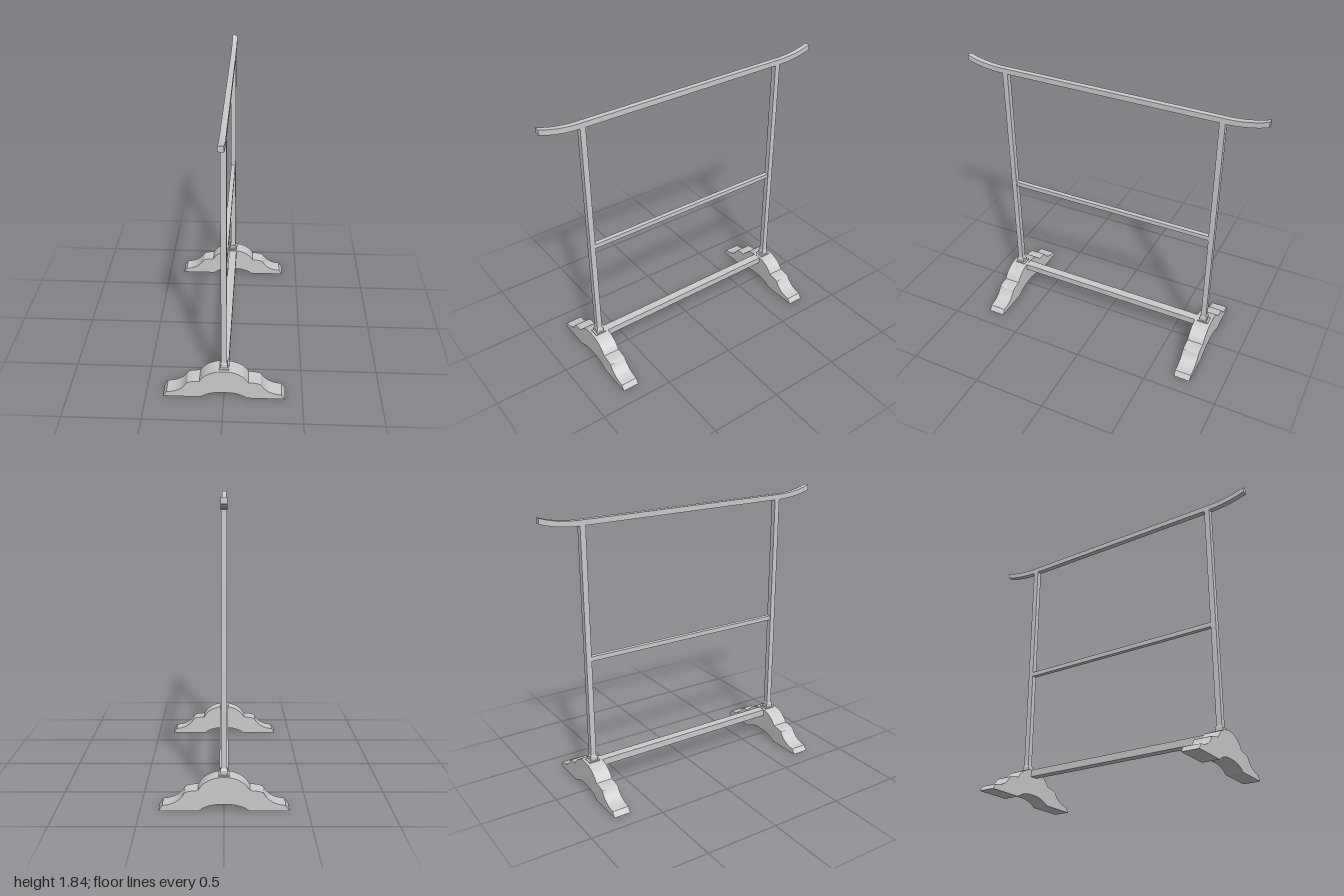
import * as THREE from 'three';
import { toCreasedNormals } from 'three/addons/utils/BufferGeometryUtils.js';

const material = new THREE.MeshStandardMaterial({ color: 0xcccccc });
const POST_Z = 0.728;

function addMesh(parent, name, geometry, x = 0, y = 0, z = 0) {
  const mesh = new THREE.Mesh(geometry, material);
  mesh.name = name;
  mesh.position.set(x, y, z);
  parent.add(mesh);
  return mesh;
}

// Extrude a shape, centred on its depth, smooth along curves and sharp at corners
function slab(shape, depth) {
  const geometry = new THREE.ExtrudeGeometry(shape, { depth, bevelEnabled: false, curveSegments: 10 });
  geometry.translate(0, 0, -depth / 2);
  return toCreasedNormals(geometry, 0.5);
}

// Stepped, scrolled foot with an arched underside
function footGeometry() {
  const s = new THREE.Shape();
  s.moveTo(0.15, 0);
  s.lineTo(0.39, 0);
  s.lineTo(0.367, 0.034);
  s.bezierCurveTo(0.31, 0.038, 0.26, 0.06, 0.235, 0.112);
  s.quadraticCurveTo(0.215, 0.124, 0.155, 0.127);
  s.bezierCurveTo(0.125, 0.18, 0.07, 0.209, 0, 0.209);
  s.bezierCurveTo(-0.07, 0.209, -0.125, 0.18, -0.155, 0.127);
  s.quadraticCurveTo(-0.215, 0.124, -0.235, 0.112);
  s.bezierCurveTo(-0.26, 0.06, -0.31, 0.038, -0.367, 0.034);
  s.lineTo(-0.39, 0);
  s.lineTo(-0.15, 0);
  s.quadraticCurveTo(-0.095, 0.04, -0.02, 0.04);
  s.lineTo(0.02, 0.04);
  s.quadraticCurveTo(0.095, 0.04, 0.15, 0);
  return slab(s, 0.112);
}

// Top rail whose ends sweep upward
function topRailGeometry() {
  const s = new THREE.Shape();
  s.moveTo(-0.76, 1.765);
  s.lineTo(0.76, 1.765);
  s.quadraticCurveTo(0.89, 1.768, 1, 1.806);
  s.lineTo(1, 1.841);
  s.quadraticCurveTo(0.89, 1.802, 0.76, 1.8);
  s.lineTo(-0.76, 1.8);
  s.quadraticCurveTo(-0.89, 1.802, -1, 1.841);
  s.lineTo(-1, 1.806);
  s.quadraticCurveTo(-0.89, 1.768, -0.76, 1.765);
  return slab(s, 0.036).rotateY(-Math.PI / 2);
}

// Square block narrowing toward the top
function taperedBlock(bottomHalf, topHalf, height) {
  const g = new THREE.CylinderGeometry(topHalf * Math.SQRT2, bottomHalf * Math.SQRT2, height, 4);
  return toCreasedNormals(g.rotateY(Math.PI / 4), 0.5);
}

export function createModel() {
  const model = new THREE.Group();
  model.name = 'garmentRack';

  // Two end frames: foot, collar and post
  for (const side of [1, -1]) {
    const end = new THREE.Group();
    end.name = side > 0 ? 'frontEnd' : 'backEnd';
    end.position.z = side * POST_Z;
    model.add(end);
    addMesh(end, 'foot', footGeometry());
    addMesh(end, 'collarPlate', new THREE.BoxGeometry(0.064, 0.012, 0.076), 0, 0.208, 0);
    addMesh(end, 'collarBlock', new THREE.BoxGeometry(0.046, 0.024, 0.05), 0, 0.226, 0);
    addMesh(end, 'collarTaper', taperedBlock(0.023, 0.018, 0.012), 0, 0.244, 0);
    addMesh(end, 'post', new THREE.BoxGeometry(0.036, 1.56, 0.036), 0, 0.985, 0);
  }

  // Rails joining the ends
  addMesh(model, 'topRail', topRailGeometry());
  addMesh(model, 'middleRail', new THREE.BoxGeometry(0.03, 0.03, 1.42), 0, 0.92, 0);
  addMesh(model, 'lowerBeam', new THREE.BoxGeometry(0.056, 0.046, 1.345), 0, 0.183, 0);

  return model;
}
